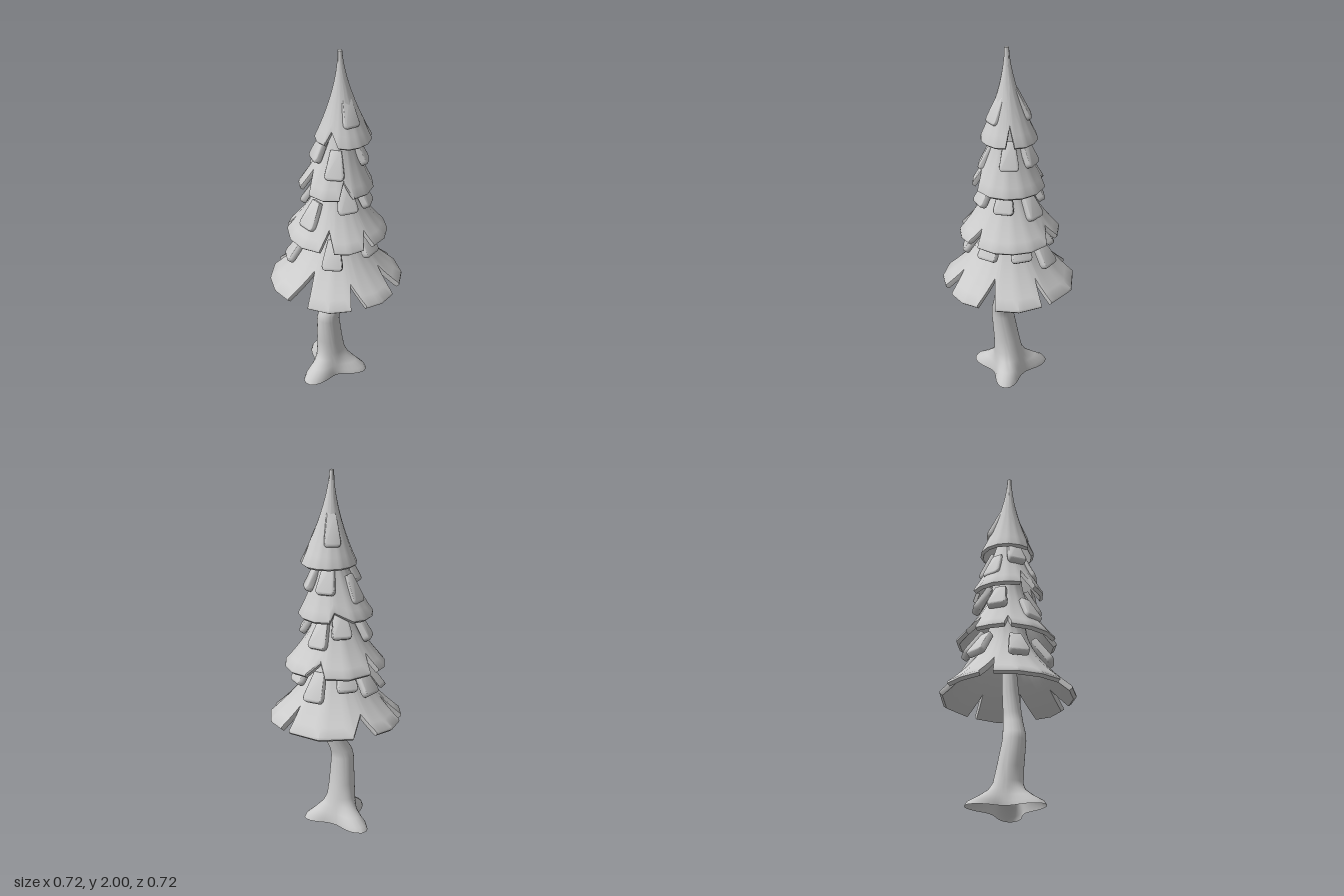
import * as THREE from 'three';
import { mergeVertices, toCreasedNormals } from 'three/addons/utils/BufferGeometryUtils.js';

const rad = THREE.MathUtils.degToRad;
const lerp = THREE.MathUtils.lerp;
const material = new THREE.MeshStandardMaterial({ color: 0xcccccc, side: THREE.DoubleSide });

// Skin closed around the y axis: columns go by rising angle, points run along each column
function skin(columns, crease) {
  const n = columns.length, m = columns[0].length, index = [];
  for (let i = 0; i < n; i++) {
    for (let j = 0; j < m - 1; j++) {
      const a = i * m + j, b = ((i + 1) % n) * m + j;
      index.push(a, b, a + 1, b, b + 1, a + 1);
    }
  }
  const g = new THREE.BufferGeometry();
  g.setAttribute('position', new THREE.Float32BufferAttribute(columns.flat(2), 3));
  g.setIndex(index);
  return toCreasedNormals(mergeVertices(g, 1e-5), rad(crease));
}

// Faceted hem of radius R, cut by notches of [degrees, tip radius, width before, width after]
function hem(R, notches) {
  const corners = [];
  notches.forEach(([deg, depth, , after], i) => {
    const next = notches[(i + 1) % notches.length];
    const start = deg + after;
    const end = next[0] - next[2] + (i === notches.length - 1 ? 360 : 0);
    const facets = Math.max(2, Math.round((end - start) / 24));
    corners.push([rad(deg), depth]);
    for (let k = 0; k <= facets; k++) {
      const r = k === 0 || k === facets ? R * 0.985 : R;
      corners.push([rad(lerp(start, end, k / facets)), r]);
    }
  });
  return corners.map(([a, r]) => new THREE.Vector2(r * Math.cos(a), r * Math.sin(a)));
}

// Hollow skirt of foliage, flaring from the top radius and height out to the hem
function tierGeometry({ top: [rTop, yTop], foot: [rFoot, yFoot], bend, notches, centre, tip, thick }) {
  const height = (r) => lerp(yTop, yFoot, Math.pow((r - rTop) / (rFoot - rTop), bend));
  const columns = [], corners = hem(rFoot, notches), steps = 10;
  corners.forEach((corner, i) => {
    const next = corners[(i + 1) % corners.length];
    for (let s = 0; s < 4; s++) {
      const edge = corner.clone().lerp(next, s / 4);
      const a = edge.angle();
      // Heights follow the corner radii, so the hem stays straight along each facet
      const R = lerp(corner.length(), next.length(), s / 4), flat = edge.length() / R;
      const place = (r, y) => {
        const k = THREE.MathUtils.clamp((y - yFoot) / (yTop - yFoot), 0, 1), d = r * flat;
        return [lerp(centre[0], tip[0], k) + d * Math.cos(a), y, lerp(centre[1], tip[1], k) + d * Math.sin(a)];
      };
      const outer = [], inner = [];
      for (let j = 0; j <= steps; j++) {
        const r = Math.min(R, lerp(rTop, R, Math.pow(j / steps, 1.7))), y = height(r);
        outer.push(place(r, y));
        inner.unshift(place(Math.max(0, r - thick * 0.5), y - thick * 0.85));
      }
      const rim = place(R + 0.002, height(R) - thick * 0.4);
      columns.push([place(0, yTop + 0.004), ...outer, rim, ...inner]);
    }
  });
  return skin(columns, 42);
}

// Tapered slab of foliage with rounded lower corners, its foot at the origin
function tuftGeometry(width, height) {
  const b = 0.009, w = width / 2 - b, d = 0.022;
  const s = new THREE.Shape();
  s.moveTo(-w * 0.75, b);
  s.lineTo(w * 0.75, b);
  s.quadraticCurveTo(w * 1.02, b + 0.002, w * 0.97, b + 0.022);
  s.lineTo(w * 0.5, height);
  s.lineTo(-w * 0.5, height);
  s.lineTo(-w * 0.97, b + 0.022);
  s.quadraticCurveTo(-w * 1.02, b + 0.002, -w * 0.75, b);
  const g = new THREE.ExtrudeGeometry(s, {
    depth: d, bevelEnabled: true, bevelSize: b, bevelThickness: b, bevelSegments: 3, curveSegments: 4,
  });
  g.translate(0, 0, -d - b);
  return toCreasedNormals(g, rad(50));
}

// Bent trunk, open underneath, spreading into three pointed roots at the ground
function trunkGeometry() {
  // Height, centre x, centre z, radius
  const rings = [
    [1, 0.01, 0, 0.03], [0.66, 0.02, 0.015, 0.045], [0.54, 0.018, 0.025, 0.05],
    [0.49, 0.008, 0.03, 0.053], [0.41, -0.034, 0.04, 0.061], [0.37, -0.042, 0.04, 0.063],
    [0.22, -0.038, 0.018, 0.072], [0.14, -0.035, 0.008, 0.078], [0.1, -0.032, 0.003, 0.083],
    [0.06, -0.03, 0, 0.09], [0.025, -0.03, 0, 0.098], [0, -0.03, 0, 0.1],
  ];
  const roots = [[0, 0.105], [116, 0.132], [237, 0.135]]; // degrees, extra reach
  const columns = [], sides = 48;
  for (let i = 0; i < sides; i++) {
    const a = (i / sides) * Math.PI * 2;
    const root = roots.reduce((sum, [deg, reach]) =>
      sum + reach * Math.pow(Math.max(0, Math.cos(a - rad(deg))), 8), 0);
    columns.push(rings.map(([y, x, z, r]) => {
      const R = r + root * Math.exp(-((y / 0.075) ** 2));
      return [x + R * Math.cos(a), y, z + R * Math.sin(a)];
    }));
  }
  return skin(columns, 45);
}

export function createModel() {
  const model = new THREE.Group();
  model.name = 'tree';
  const add = (name, geometry) => {
    const mesh = new THREE.Mesh(geometry, material);
    mesh.name = name;
    model.add(mesh);
    return mesh;
  };

  add('trunk', trunkGeometry());

  // Four stacked skirts of foliage
  add('bottomTier', tierGeometry({
    top: [0.1, 1.05], foot: [0.366, 0.643], bend: 0.55, centre: [-0.003, 0], tip: [0, 0], thick: 0.03,
    notches: [[11, 0.24, 6, 10], [62, 0.26, 10, 4], [111, 0.22, 7, 14], [190, 0.24, 5, 7],
      [241, 0.27, 8, 14], [319, 0.25, 5, 5]],
  }));
  add('lowerMiddleTier', tierGeometry({
    top: [0.08, 1.32], foot: [0.273, 0.95], bend: 0.58, centre: [0, -0.004], tip: [0, 0], thick: 0.03,
    notches: [[37, 0.21, 5, 10], [91, 0.195, 9, 8], [172, 0.22, 4, 4], [217, 0.2, 6, 9],
      [291, 0.215, 9, 15]],
  }));
  add('upperMiddleTier', tierGeometry({
    top: [0.06, 1.6], foot: [0.2, 1.235], bend: 0.64, centre: [-0.004, 0], tip: [0.025, 0], thick: 0.03,
    notches: [[66, 0.15, 16, 8], [143, 0.14, 18, 9], [272, 0.17, 30, 8]],
  }));
  add('topTier', tierGeometry({
    top: [0.012, 1.996], foot: [0.15, 1.515], bend: 0.6, centre: [0.035, -0.005], tip: [0.017, 0.01],
    thick: 0.025, notches: [[110, 0.115, 20, 12], [350, 0.105, 8, 10]],
  }));

  // Ring of tufts; each spot is [degrees, foot height, foot radius]
  const addTufts = (x, lean, width, height, spots) => {
    const geometry = tuftGeometry(width, height);
    for (const [deg, y, radius] of spots) {
      const a = rad(deg);
      const tuft = add('tuft', geometry);
      tuft.position.set(x + radius * Math.cos(a), y, radius * Math.sin(a));
      tuft.rotation.set(-rad(lean), Math.PI / 2 - a, 0, 'YXZ');
    }
  };
  addTufts(0, 35, 0.115, 0.16, [[85, 0.83, 0.255], [24, 0.87, 0.25], [-25, 0.87, 0.25],
    [-63, 0.81, 0.285], [160, 0.79, 0.285], [218, 0.82, 0.265], [253, 0.86, 0.25]]);
  addTufts(0, 30, 0.11, 0.15, [[130, 1.03, 0.225], [58, 1.14, 0.195], [3, 1.13, 0.195],
    [-58, 1.08, 0.205], [192, 1.1, 0.205], [258, 1.14, 0.195]]);
  addTufts(0.01, 25, 0.105, 0.15, [[88, 1.33, 0.165], [-8, 1.37, 0.16], [-72, 1.37, 0.16],
    [150, 1.4, 0.155], [210, 1.31, 0.17]]);
  addTufts(0.025, 26, 0.09, 0.17, [[49, 1.61, 0.122], [-96, 1.62, 0.122]]);

  return model;
}
